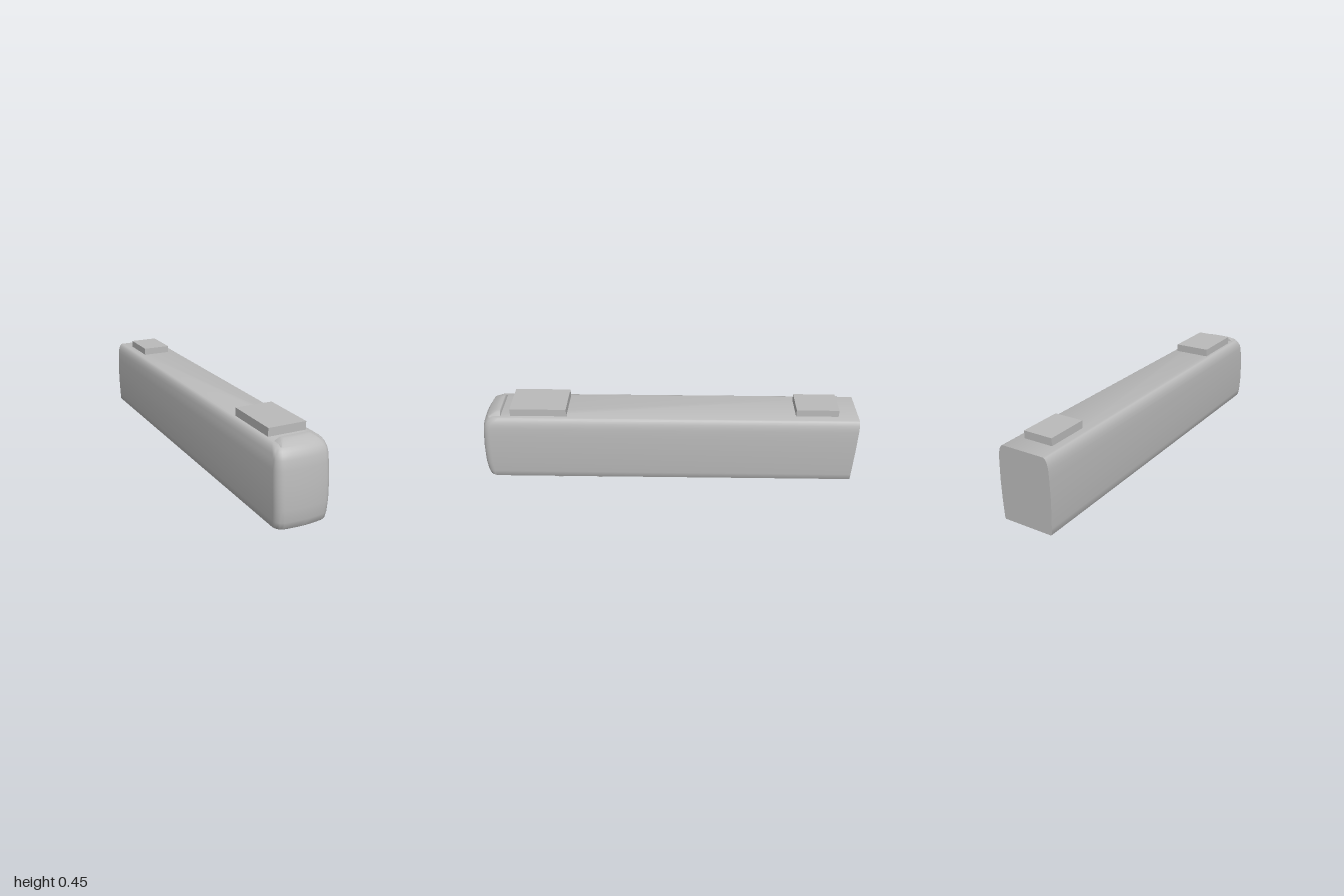
import * as THREE from 'three';
import { toCreasedNormals } from 'three/addons/utils/BufferGeometryUtils.js';

// Horizontal outline at height y: square rear, rounded and bowed front
function outline([y, w, front], back, radius, bow) {
  const pts = [[-w, y, back]];
  const arc = (side, t) => {
    const x = side * (w - radius + radius * Math.sin(t));
    const z = front - bow - radius + radius * Math.cos(t);
    return [x, y, z + bow * (1 - (x / w) ** 2)];
  };
  const steps = 6;
  for (let i = steps; i >= 0; i--) pts.push(arc(-1, (i / steps) * Math.PI / 2));
  for (let i = 1; i < 6; i++) {
    const x = (w - radius) * (i / 3 - 1);
    pts.push([x, y, front - bow * (x / w) ** 2]);
  }
  for (let i = 0; i <= steps; i++) pts.push(arc(1, (i / steps) * Math.PI / 2));
  pts.push([w, y, back]);
  return pts;
}

// Joins stacked outlines and closes the top and bottom
function loft(rings) {
  const pos = [];
  const tri = (...p) => p.forEach((v) => pos.push(...v));
  const n = rings[0].length;
  for (let r = 0; r < rings.length - 1; r++) {
    for (let j = 0; j < n; j++) {
      const k = (j + 1) % n, a = rings[r], b = rings[r + 1];
      tri(a[j], a[k], b[k]);
      tri(a[j], b[k], b[j]);
    }
  }
  const low = rings[0], high = rings[rings.length - 1];
  for (let j = 1; j < n - 1; j++) {
    tri(low[0], low[j + 1], low[j]);
    tri(high[0], high[j], high[j + 1]);
  }
  const geo = new THREE.BufferGeometry();
  geo.setAttribute('position', new THREE.Float32BufferAttribute(pos, 3));
  return toCreasedNormals(geo, 0.6);
}

export function createModel() {
  const model = new THREE.Group();
  const grey = new THREE.MeshStandardMaterial({ color: 0xbababa });
  grey.name = 'plain grey';

  const add = (name, geo, x = 0, y = 0, z = 0) => {
    const mesh = new THREE.Mesh(geo, grey);
    mesh.name = name;
    mesh.position.set(x, y, z);
    model.add(mesh);
    return mesh;
  };

  // Body levels: height, half width, front z
  const levels = [
    [0.033, 0.131, 0.985], [0.04, 0.135, 0.99], [0.07, 0.137, 0.997],
    [0.13, 0.14, 1.0], [0.23, 0.142, 0.995], [0.31, 0.14, 0.987],
    [0.355, 0.138, 0.98], [0.375, 0.135, 0.972], [0.39, 0.131, 0.962],
    [0.402, 0.125, 0.95], [0.409, 0.119, 0.94], [0.412, 0.113, 0.932],
  ];
  add('body', loft(levels.map((l) => outline(l, -1, 0.035, 0.015))));

  // Raised lip above the windscreen
  const lip = [
    [0.405, 0.104, 0.95], [0.413, 0.099, 0.938], [0.422, 0.086, 0.922],
    [0.428, 0.077, 0.908], [0.43, 0.07, 0.9],
  ];
  add('roofLip', loft(lip.map((l, i) => outline(l, 0.875 + i * 0.002, 0.012, 0.006))));

  // Roof units
  add('frontRoofUnit', new THREE.BoxGeometry(0.196, 0.045, 0.295), -0.001, 0.4305, 0.678);
  add('rearRoofUnit', new THREE.BoxGeometry(0.154, 0.041, 0.222), -0.001, 0.4295, -0.785);

  // Wheels, half sunk into the floor
  for (const z of [0.595, 0.375]) {
    for (const side of [-1, 1]) {
      const geo = new THREE.CylinderGeometry(0.033, 0.033, 0.012, 24).rotateZ(Math.PI / 2);
      add(side > 0 ? 'leftWheel' : 'rightWheel', geo, side * 0.093, 0.033, z);
    }
  }
  return model;
}
